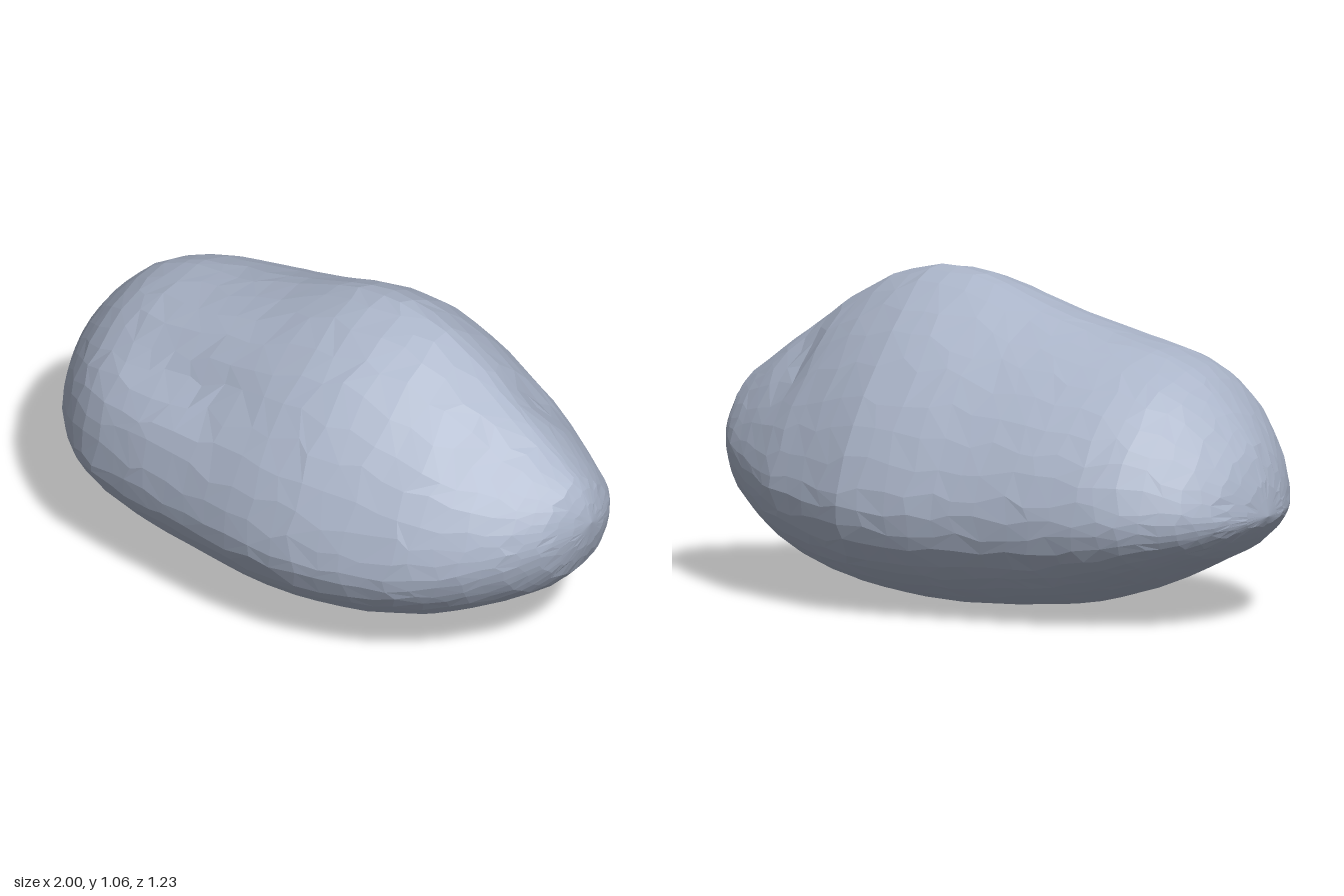
import * as THREE from 'three';

// Outline stations along x: [x, top, bottom, back z, front z]
const STATIONS = [
  [-1, 0.35, 0.35, -0.02, -0.02], [-0.985, 0.46, 0.32, -0.13, 0.09],
  [-0.95, 0.56, 0.28, -0.24, 0.18], [-0.88, 0.66, 0.22, -0.34, 0.3],
  [-0.78, 0.765, 0.175, -0.425, 0.41], [-0.7, 0.815, 0.135, -0.475, 0.475],
  [-0.6, 0.85, 0.09, -0.51, 0.53], [-0.4, 0.89, 0.03, -0.55, 0.57],
  [-0.2, 0.945, 0.01, -0.58, 0.59], [0, 1.02, 0, -0.61, 0.61],
  [0.12, 1.055, 0.005, -0.617, 0.615], [0.25, 1.058, 0.02, -0.612, 0.605],
  [0.4, 1.02, 0.04, -0.56, 0.565], [0.6, 0.91, 0.1, -0.48, 0.49],
  [0.75, 0.8, 0.17, -0.375, 0.39], [0.88, 0.7, 0.25, -0.27, 0.265],
  [0.95, 0.65, 0.33, -0.18, 0.16], [0.985, 0.58, 0.43, -0.1, 0.06],
  [1, 0.52, 0.52, -0.02, -0.02],
];
const RIDGE_Z = -0.02;

// Shallow hollows: centre, radii, depth
const DENTS = [
  { c: [-0.35, 0.76, 0.4], r: [0.32, 0.09, 0.12], d: 0.045 },
  { c: [0.66, 0.76, -0.22], r: [0.07, 0.14, 0.18], d: 0.025 },
  { c: [0.7, 0.71, 0.15], r: [0.1, 0.09, 0.12], d: 0.02 },
];

function makeRandom(seed) {
  return () => {
    seed = (seed * 16807) % 2147483647;
    return seed / 2147483647;
  };
}

function outlineAt(t) {
  const angle = (row) => Math.acos(-row[0]);
  let i = 0;
  while (i < STATIONS.length - 2 && angle(STATIONS[i + 1]) < t) i++;
  const a = STATIONS[i], b = STATIONS[i + 1];
  const k = (t - angle(a)) / (angle(b) - angle(a));
  return a.map((v, j) => v + (b[j] - v) * k);
}

// One point of a cross-section; the four quarters have their own roundness
function sectionPoint(t, a) {
  const [x, top, bottom, back, front] = outlineAt(t);
  const c = Math.cos(a), s = Math.sin(a);
  // The shoulders are fuller towards the low end
  const full = Math.exp(-(((x + 0.5) / 0.4) ** 2));
  const upper = c > 0 ? 1.68 + 0.5 * full : 1.42 + 0.25 * full;
  const n = s >= 0 ? upper : c > 0 ? 1.85 : 2.25;
  const u = Math.pow(Math.abs(c), 2 / n), v = Math.pow(Math.abs(s), 2 / n);
  const waist = 0.355 + 0.15 * Math.pow(Math.max(0, (x - 0.4) / 0.6), 2)
    + 0.045 * Math.max(0, c) * (1 - x * x);
  const p = new THREE.Vector3(
    x,
    waist + (s < 0 ? bottom - waist : top - waist) * v,
    RIDGE_Z + (c > 0 ? front - RIDGE_Z : back - RIDGE_Z) * u,
  );
  // Press in the hollows towards the core
  const core = new THREE.Vector3(x * 0.5, 0.4, 0);
  for (const { c: m, r, d } of DENTS) {
    const q = ((p.x - m[0]) / r[0]) ** 2 + ((p.y - m[1]) / r[1]) ** 2 + ((p.z - m[2]) / r[2]) ** 2;
    p.addScaledVector(core.clone().sub(p).normalize(), d * Math.exp(-q));
  }
  return p;
}

function boulderGeometry(rings = 36, sides = 40) {
  const random = makeRandom(4177);
  const positions = [], index = [];
  const last = rings - 1;
  for (let i = 1; i <= last; i++) {
    for (let j = 0; j < sides; j++) {
      // Slide points along the surface for irregular facets
      const slide = i > 1 && i < last ? 0.5 : 0;
      const t = ((i + (random() - 0.5) * slide) / rings) * Math.PI;
      const a = ((j + (random() - 0.5) * 0.5) / sides) * Math.PI * 2;
      positions.push(...sectionPoint(t, a).toArray());
    }
  }
  const rightTip = positions.length / 3, leftTip = rightTip + 1;
  positions.push(-1, 0.35, RIDGE_Z, 1, 0.52, RIDGE_Z);

  for (let j = 0; j < sides; j++) {
    const k = (j + 1) % sides;
    index.push(rightTip, j, k);
    for (let i = 0; i < last - 1; i++) {
      const a = i * sides + j, b = i * sides + k;
      const c = a + sides, d = b + sides;
      if (random() < 0.5) index.push(a, c, b, b, c, d);
      else index.push(a, d, b, a, c, d);
    }
    const base = (last - 1) * sides;
    index.push(leftTip, base + k, base + j);
  }
  const geometry = new THREE.BufferGeometry();
  geometry.setAttribute('position', new THREE.Float32BufferAttribute(positions, 3));
  geometry.setIndex(index);
  geometry.computeVertexNormals();
  return geometry;
}

export function createModel() {
  const group = new THREE.Group();
  group.name = 'rock';
  const material = new THREE.MeshStandardMaterial({ color: 0xaab4c8, flatShading: true });
  const boulder = new THREE.Mesh(boulderGeometry(), material);
  boulder.name = 'boulder';
  group.add(boulder);
  return group;
}
